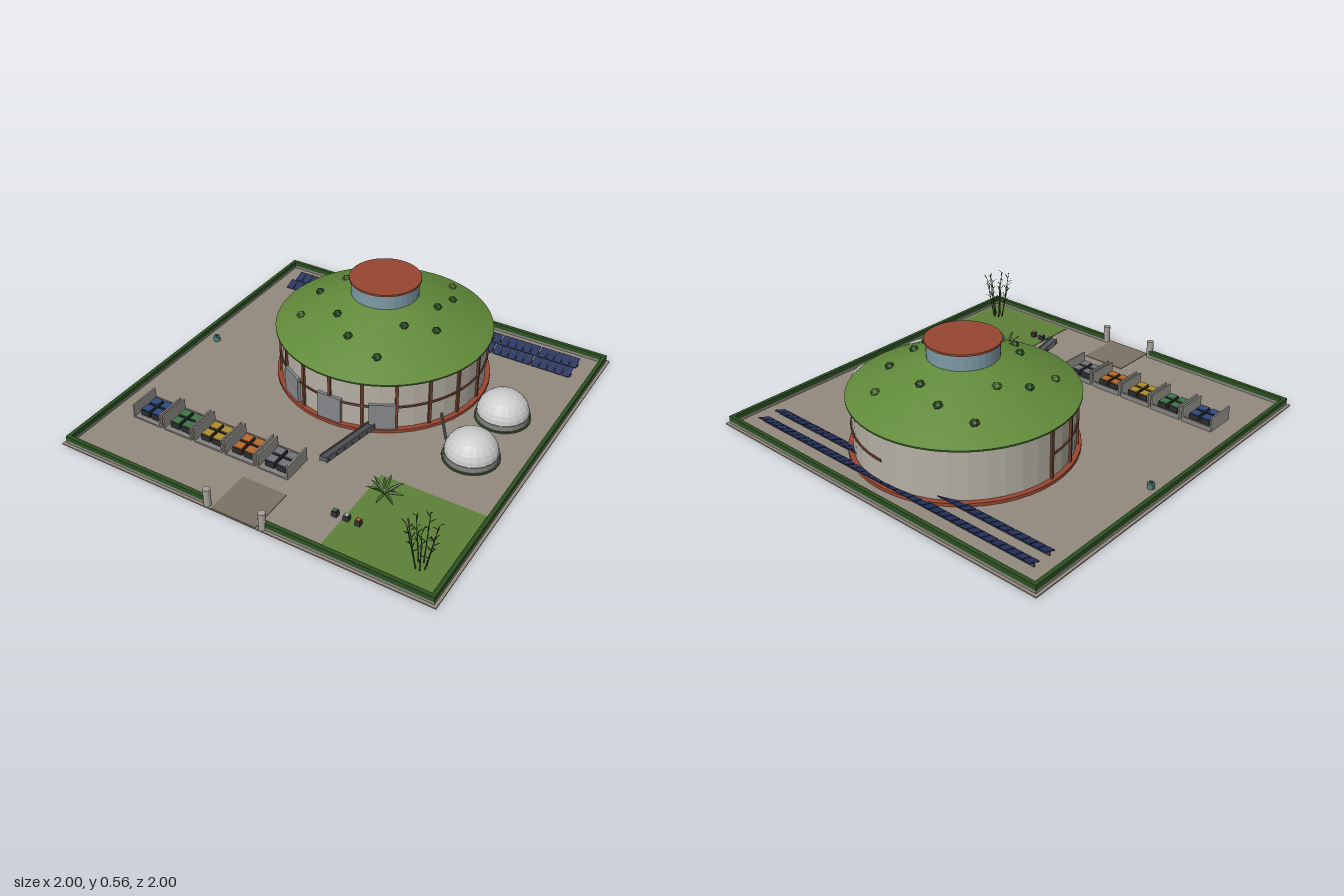
import * as THREE from 'three';

const mats = {};
const mat = (color, flat = true) => (mats[color + '_' + flat] ??= new THREE.MeshStandardMaterial({ color, flatShading: flat, side: THREE.DoubleSide }));

export function createModel() {
  const root = new THREE.Group();
  const add = (name, geo, color, x = 0, y = 0, z = 0, parent = root, flat = true) => {
    const m = new THREE.Mesh(geo, mat(color, flat));
    m.name = name;
    m.position.set(x, y, z);
    parent.add(m);
    return m;
  };
  const group = (name, x = 0, y = 0, z = 0) => {
    const g = new THREE.Group();
    g.name = name;
    g.position.set(x, y, z);
    root.add(g);
    return g;
  };
  // box standing on height y
  const box = (name, w, h, d, color, x, y, z, parent) =>
    add(name, new THREE.BoxGeometry(w, h, d), color, x, y + h / 2, z, parent);
  // upright cylinder standing on height y
  const cyl = (name, rTop, rBottom, h, seg, color, x, y, z, parent, flat) =>
    add(name, new THREE.CylinderGeometry(rTop, rBottom, h, seg), color, x, y + h / 2, z, parent, flat);
  // tapered rod between two points
  const rod = (name, a, b, r0, r1, color, parent, seg = 6) => {
    const d = b.clone().sub(a);
    const m = add(name, new THREE.CylinderGeometry(r1, r0, d.length(), seg), color, 0, 0, 0, parent);
    m.position.copy(a).addScaledVector(d, 0.5);
    m.quaternion.setFromUnitVectors(new THREE.Vector3(0, 1, 0), d.normalize());
    return m;
  };
  const V = (x, y, z) => new THREE.Vector3(x, y, z);
  let seed = 7;
  const rnd = () => (seed = (seed * 16807) % 2147483647) / 2147483647;

  // Site
  box('ground', 2, 0.006, 2, 0x938a7d, 0, 0.002, 0);
  box('lawn', 0.535, 0.011, 0.535, 0x5e8038, 0.683, 0, 0.683);
  box('driveway', 0.24, 0.006, 0.245, 0x7b7264, 0, 0.005, 0.875);

  // Curb and hedge round the site, open at the gate
  const edge = (w, d, x, z) => {
    box('curb', w, 0.022, d, 0x85837c, x, 0, z);
    box('hedge', w, 0.025, d, 0x2b5020, x, 0.022, z);
  };
  edge(0.02, 1.97, -0.975, 0);
  edge(0.02, 1.97, 0.975, 0);
  edge(1.93, 0.02, 0, -0.975);
  for (const s of [-1, 1]) {
    edge(0.815, 0.02, s * 0.5575, 0.975);
    cyl('gatePost', 0.018, 0.018, 0.1, 12, 0xa5a198, s * 0.148, 0, 0.982);
  }

  // Round hall
  const hall = group('hall', 0, 0, -0.34);
  cyl('plinth', 0.555, 0.555, 0.02, 48, 0x9a4630, 0, 0.004, 0, hall);
  cyl('wall', 0.53, 0.53, 0.28, 40, 0xb5b0a4, 0, 0.01, 0, hall);
  cyl('roofRim', 0.555, 0.555, 0.008, 64, 0x3d5a26, 0, 0.285, 0, hall);
  const roof = new THREE.LatheGeometry([[0.555, 0.293], [0.18, 0.47], [0, 0.47]].map(p => new THREE.Vector2(...p)), 64);
  add('greenRoof', roof, 0x618a3a, 0, 0, 0, hall, false);
  cyl('lantern', 0.172, 0.172, 0.08, 32, 0x7d9aa5, 0, 0.47, 0, hall);
  cyl('lanternCap', 0.181, 0.181, 0.01, 48, 0x964630, 0, 0.547, 0, hall);
  const rail = new THREE.TorusGeometry(0.532, 0.006, 6, 72, Math.PI * 1.5).rotateX(Math.PI / 2).rotateY(Math.PI / 2);
  add('wallRail', rail, 0x6b3f2c, 0, 0.145, 0, hall);
  for (let i = -5; i <= 5; i++) {
    const a = i * Math.PI / 10;
    const post = box('wallPost', 0.015, 0.265, 0.015, 0x6b3f2c, 0.533 * Math.sin(a), 0.01, 0.533 * Math.cos(a), hall);
    post.rotation.y = a;
  }
  for (const a of [-0.5, 0, 0.5]) {
    const door = box('door', 0.13, 0.155, 0.02, 0x85878a, 0.533 * Math.sin(a), 0.01, 0.533 * Math.cos(a), hall);
    door.rotation.y = a;
  }

  // Shrubs sitting on the roof slope
  const shrubs = [[0.19, -0.72], [-0.15, -0.66], [-0.33, -0.62], [0, -0.62], [0.275, -0.55], [-0.27, -0.41], [0.265, -0.4],
    [-0.345, -0.275], [0.335, -0.255], [0.205, -0.165], [-0.34, -0.085], [-0.13, -0.095], [-0.01, 0.005], [0.175, 0.045]];
  shrubs.forEach(([x, z], i) => {
    const y = 0.293 + (0.555 - Math.hypot(x, z + 0.34)) * 0.472;
    const s = add('roofShrub', new THREE.IcosahedronGeometry(0.024, 0), i % 5 ? 0x2f5527 : 0x547a33, x, y + 0.005, z);
    s.scale.y = 0.8;
  });

  // Two storage domes with a feed pipe
  for (const z of [-0.275, 0.08]) {
    const dome = group('dome', 0.71, 0, z);
    cyl('domeFoot', 0.14, 0.14, 0.012, 32, 0x3f5535, 0, 0.004, 0, dome);
    cyl('domePedestal', 0.133, 0.133, 0.045, 24, 0x84847f, 0, 0, 0, dome);
    const shell = new THREE.SphereGeometry(0.13, 20, 7, 0, Math.PI * 2, 0, Math.PI / 2).scale(1, 0.85, 1);
    add('domeShell', shell, 0xbfc0be, 0, 0.044, 0, dome);
  }
  rod('feedPipe', V(0.44, 0.05, -0.13), V(0.59, 0.05, 0.1), 0.007, 0.007, 0x6c6c6c, root, 8);

  // Inclined conveyor leaving the hall
  const belt = group('conveyor', 0.21, 0.085, 0.365);
  belt.rotation.x = -Math.atan2(0.1, 0.43);
  add('conveyorBed', new THREE.BoxGeometry(0.036, 0.02, 0.45), 0x55565a, 0, 0, 0, belt);
  for (const s of [-1, 1]) add('conveyorSide', new THREE.BoxGeometry(0.005, 0.03, 0.45), 0x6d6e72, s * 0.018, 0.002, 0, belt);
  for (let i = 0; i < 7; i++) {
    const roller = new THREE.CylinderGeometry(0.006, 0.006, 0.046, 8).rotateZ(Math.PI / 2);
    add('roller', roller, 0x3c3d40, 0, 0, -0.21 + i * 0.07, belt);
  }

  // Sorting bays, each with four crates
  [0x2f4a80, 0x3f7549, 0xb08d2f, 0xbb682a, 0x75737a].forEach((color, i) => {
    const bay = group('sortingBay', -0.756 + i * 0.1845, 0, 0.583);
    box('bayFloor', 0.165, 0.012, 0.165, 0x85837e, 0, 0.004, 0, bay);
    box('bayBack', 0.165, 0.03, 0.008, 0x85837e, 0, 0.004, -0.079, bay);
    for (const s of [-1, 1]) {
      box('bayWall', 0.008, 0.08, 0.165, 0x9a978f, s * 0.081, 0.004, 0, bay);
      for (const t of [-1, 1]) {
        box('crate', 0.052, 0.034, 0.052, 0x2a2c30, s * 0.032, 0.014, t * 0.031, bay);
        box('crateLid', 0.046, 0.006, 0.046, color, s * 0.032, 0.047, t * 0.031, bay);
      }
    }
  });

  // Two rows of tilted solar panels, in sets of five
  for (const z of [-0.862, -0.765]) {
    for (let i = 0; i < 40; i++) {
      const x = -0.857 + i * 0.0439 - ((i % 5) - 2) * 0.0008;
      const p = add('solarPanel', new THREE.BoxGeometry(0.039, 0.004, 0.066), 0x27345f, x, 0.03, z);
      p.rotation.x = 0.35;
    }
    box('panelRail', 1.75, 0.024, 0.006, 0x4a4c52, 0, 0.004, z);
  }

  // Well and small bins
  cyl('well', 0.018, 0.018, 0.03, 12, 0x4d7f80, -0.9, 0.005, -0.09);
  cyl('wellCap', 0.008, 0.008, 0.008, 10, 0x2f4d55, -0.9, 0.035, -0.09);
  [0x3f7549, 0xb9b9b4, 0xbb682a].forEach((color, i) => {
    box('smallBin', 0.026, 0.032, 0.026, 0x33363a, 0.375 + i * 0.059, 0.005, 0.75);
    box('smallBinLid', 0.018, 0.005, 0.018, color, 0.375 + i * 0.059, 0.037, 0.75);
  });

  // Leaf: a narrow folded diamond, growing along +z
  const leafGeo = (len, w, droop) => {
    const g = new THREE.PlaneGeometry(w, len, 2, 4).rotateX(Math.PI / 2).translate(0, 0, len / 2);
    const p = g.attributes.position;
    for (let i = 0; i < p.count; i++) {
      const t = p.getZ(i) / len;
      const x = p.getX(i) * (0.25 + 3 * t) * (1 - t);
      p.setXYZ(i, x, Math.abs(x) * 0.5 - droop * t * t, p.getZ(i));
    }
    g.computeVertexNormals();
    return g;
  };

  // Rosette plant
  const rosette = group('rosettePlant', 0.5, 0.012, 0.53);
  for (let i = 0; i < 13; i++) {
    const leaf = add('rosetteLeaf', leafGeo(0.085 + 0.02 * rnd(), 0.022, 0.015), i % 2 ? 0x3c6230 : 0x4d7638, 0, 0.01, 0, rosette);
    leaf.rotation.set(-0.25 - 0.3 * (i % 3), i * 2.4, 0, 'YXZ');
  }

  // Bamboo clump
  const bamboo = group('bamboo', 0.84, 0.01, 0.83);
  for (let i = 0; i < 7; i++) {
    const a = i * 0.9 + 0.3, h = 0.19 + 0.075 * rnd();
    const foot = V(0.025 * Math.cos(a), 0, 0.025 * Math.sin(a));
    const tip = V(0.07 * Math.cos(a), h, 0.06 * Math.sin(a));
    rod('bambooStem', foot, tip, 0.0035, 0.0015, 0x3a5a2a, bamboo, 5);
    for (let k = 0; k < 7; k++) {
      const p = foot.clone().lerp(tip, 0.4 + k * 0.1);
      const leaf = add('bambooLeaf', leafGeo(0.035, 0.008, 0.004), 0x2f4f24, p.x, p.y, p.z, bamboo);
      leaf.rotation.set(-0.6 - 0.4 * rnd(), k * 2.4 + i, 0, 'YXZ');
    }
  }
  return root;
}
